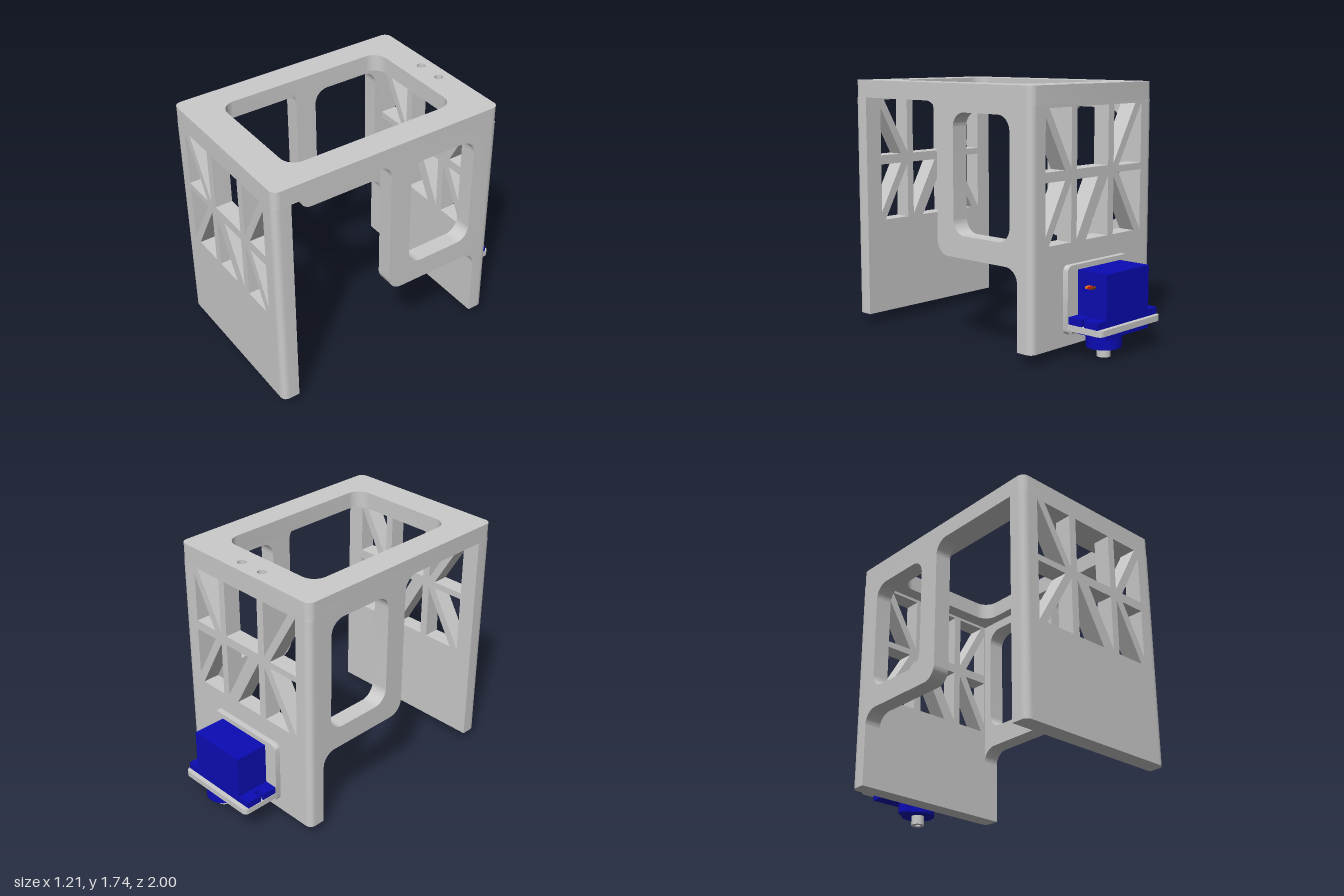
import * as THREE from 'three';
import { toCreasedNormals } from 'three/addons/utils/BufferGeometryUtils.js';

const grey = new THREE.MeshStandardMaterial({ color: 0xcccccc });
const blue = new THREE.MeshStandardMaterial({ color: 0x0b0bb4 });

function add(parent, name, geo, mat = grey) {
  const mesh = new THREE.Mesh(geo, mat);
  mesh.name = name;
  parent.add(mesh);
  return mesh;
}

// Extrusions along each axis; shapes are drawn in (x,y), (x,z) and (z,y)
const extrude = (shape, depth) =>
  toCreasedNormals(new THREE.ExtrudeGeometry(shape, { depth, bevelEnabled: false, curveSegments: 10 }), 0.5);
const extrudeZ = (s, z0, z1) => extrude(s, z1 - z0).translate(0, 0, z0);
const extrudeY = (s, y0, y1) => extrude(s, y1 - y0).rotateX(Math.PI / 2).translate(0, y1, 0);
const extrudeX = (s, x0, x1) => extrude(s, x1 - x0).rotateY(-Math.PI / 2).translate(x1, 0, 0);
const box = (x0, x1, y0, y1, z0, z1) =>
  new THREE.BoxGeometry(x1 - x0, y1 - y0, z1 - z0).translate((x0 + x1) / 2, (y0 + y1) / 2, (z0 + z1) / 2);
const cylinder = (r, y0, y1, x, z) =>
  new THREE.CylinderGeometry(r, r, y1 - y0, 40).translate(x, (y0 + y1) / 2, z);

const polygon = (...pts) => new THREE.Shape(pts.map(([x, y]) => new THREE.Vector2(x, y)));
function roundRect(x0, x1, y0, y1, r) {
  const s = new THREE.Shape();
  s.absarc(x1 - r, y1 - r, r, 0, Math.PI / 2);
  s.absarc(x0 + r, y1 - r, r, Math.PI / 2, Math.PI);
  s.absarc(x0 + r, y0 + r, r, Math.PI, Math.PI * 1.5);
  s.absarc(x1 - r, y0 + r, r, Math.PI * 1.5, Math.PI * 2);
  s.closePath();
  return s;
}
function circle(x, y, r) {
  const p = new THREE.Path();
  p.absarc(x, y, r, 0, Math.PI * 2);
  return p;
}

const W = 0.605, R = 0.05, BOTTOM = 0.07, UNDER = 1.62, TOP = 1.74;
const FRONT = [0.88, 1], BACK = [-0.69, -0.57];

// Plate with lattice windows; the middle top window is a notch closed by a lintel
function latticePlate() {
  const e = W - R;
  const s = polygon([-e, BOTTOM], [e, BOTTOM], [e, UNDER], [0.178, UNDER],
    [0.178, 1.205], [-0.135, 1.205], [-0.135, UNDER], [-e, UNDER]);
  s.holes.push(
    polygon([-0.483, 1.6], [-0.483, 1.195], [-0.243, 1.195]),
    polygon([-0.417, 1.6], [-0.192, 1.6], [-0.192, 1.215]),
    polygon([-0.483, 1.15], [-0.483, 0.74], [-0.243, 1.15]),
    polygon([-0.417, 0.74], [-0.192, 0.74], [-0.192, 1.13]),
    polygon([-0.135, 1.14], [-0.135, 0.74], [0.087, 0.74]),
    polygon([-0.032, 1.14], [0.178, 1.14], [0.178, 0.755]),
    polygon([0.232, 1.6], [0.444, 1.6], [0.232, 1.215]),
    polygon([0.477, 1.546], [0.477, 1.205], [0.293, 1.205]),
    polygon([0.293, 1.14], [0.477, 1.14], [0.477, 0.8]),
    polygon([0.232, 1.13], [0.232, 0.74], [0.444, 0.74]));
  return s;
}

function buildFrame() {
  const g = new THREE.Group();
  g.name = 'frame';
  const screwHoles = () => [-0.095, 0.095].map(x => circle(x, -0.605, 0.03));

  // Top slab with large opening and two screw holes
  const slab = roundRect(-W, W, -0.69, 1, R);
  slab.holes.push(roundRect(-0.415, 0.415, -0.47, 0.77, 0.1), ...screwHoles());
  add(g, 'topSlab', extrudeY(slab, UNDER, TOP));

  // End plates with rounded corner posts
  for (const [name, [z0, z1], inner, outer] of [['front', FRONT, 0.88, 1], ['back', BACK, -0.57, -0.69]]) {
    add(g, name + 'Plate', extrudeZ(latticePlate(), z0, z1));
    const lintel = polygon([-0.135, z0], [0.178, z0], [0.178, z1], [-0.135, z1]);
    if (name === 'back') lintel.holes.push(...screwHoles());
    add(g, name + 'Lintel', extrudeY(lintel, 1.6, UNDER));
    for (const s of [-1, 1]) {
      const post = new THREE.Shape();
      post.moveTo(s * (W - R), inner);
      post.lineTo(s * W, inner);
      post.lineTo(s * W, outer - Math.sign(outer) * R);
      post.quadraticCurveTo(s * W, outer, s * (W - R), outer);
      post.closePath();
      add(g, name + 'CornerPost', extrudeY(post, BOTTOM, UNDER));
    }
  }

  // Side webs with filleted corners and a rounded window
  const web = new THREE.Shape();
  const r = 0.1, z0 = -0.57, z1 = 0.155, y0 = 0.605;
  web.moveTo(z0, UNDER);
  web.lineTo(z0, y0 - r);
  web.absarc(z0 + r, y0 - r, r, Math.PI, Math.PI / 2, true);
  web.absarc(z1 - r, y0 + r, r, -Math.PI / 2, 0);
  web.absarc(z1 + r, UNDER - r, r, Math.PI, Math.PI / 2, true);
  web.closePath();
  web.holes.push(roundRect(-0.505, 0, 0.755, 1.555, 0.1));
  add(g, 'leftSideWeb', extrudeX(web, 0.485, W));
  add(g, 'rightSideWeb', extrudeX(web, -W, -0.485));
  return g;
}

const MX = -0.006, MZ = -0.85; // motor centre

function buildBracket() {
  const g = new THREE.Group();
  g.name = 'motorBracket';
  add(g, 'mountingPad', extrudeZ(roundRect(-0.317, 0.307, 0.15, 0.6, 0.04), -0.73, -0.69));
  const shelf = roundRect(-0.317, 0.307, -1, -0.69, 0.035);
  shelf.holes.push(circle(MX - 0.27, MZ, 0.022), circle(MX + 0.27, MZ, 0.022));
  add(g, 'shelf', extrudeY(shelf, 0.185, 0.225));
  const fillet = new THREE.Shape();
  fillet.moveTo(-0.73, 0.186);
  fillet.lineTo(-0.73, 0.15);
  fillet.quadraticCurveTo(-0.735, 0.186, -0.77, 0.186);
  add(g, 'shelfFillet', extrudeX(fillet, -0.28, 0.27));
  return g;
}

function buildMotor() {
  const g = new THREE.Group();
  g.name = 'motor';
  add(g, 'motorBody', box(-0.222, 0.21, 0.147, 0.567, -0.968, -0.732), blue);

  // Mounting ears with keyhole slots
  const ear = new THREE.Shape();
  ear.moveTo(0.2, 0.118);
  ear.lineTo(0.2, -0.118);
  ear.lineTo(0.307, -0.118);
  ear.lineTo(0.307, -0.01);
  ear.absarc(0.27, 0, 0.022, -0.47, 0.47 - Math.PI * 2, true);
  ear.lineTo(0.307, 0.01);
  ear.lineTo(0.307, 0.118);
  ear.closePath();
  for (const turn of [0, Math.PI]) {
    const m = add(g, 'mountingEar', extrudeY(ear, 0.225, 0.272), blue);
    m.position.set(MX, 0, MZ);
    m.rotation.y = turn;
  }

  // Gear housing, output shaft with bore
  add(g, 'gearHousing', cylinder(0.117, 0.066, 0.148, 0.09, MZ), blue);
  add(g, 'gearBoss', cylinder(0.052, 0.066, 0.148, -0.02, MZ), blue);
  const shaft = new THREE.Shape();
  shaft.absarc(0.09, MZ, 0.046, 0, Math.PI * 2);
  shaft.holes.push(circle(0.09, MZ, 0.02));
  add(g, 'outputShaft', extrudeY(shaft, 0, 0.067));

  // Three wire stubs
  [0x7a3a10, 0xe01010, 0xf08010].forEach((color, i) => {
    const mat = new THREE.MeshStandardMaterial({ color });
    const wire = new THREE.CylinderGeometry(0.01, 0.01, 0.04, 16).rotateZ(Math.PI / 2);
    add(g, 'wireStub', wire.translate(0.225, 0.47, MZ + (i - 1) * 0.021), mat);
  });
  return g;
}

export function createModel() {
  const model = new THREE.Group();
  model.name = 'motorFrame';
  model.add(buildFrame(), buildBracket(), buildMotor());
  return model;
}
